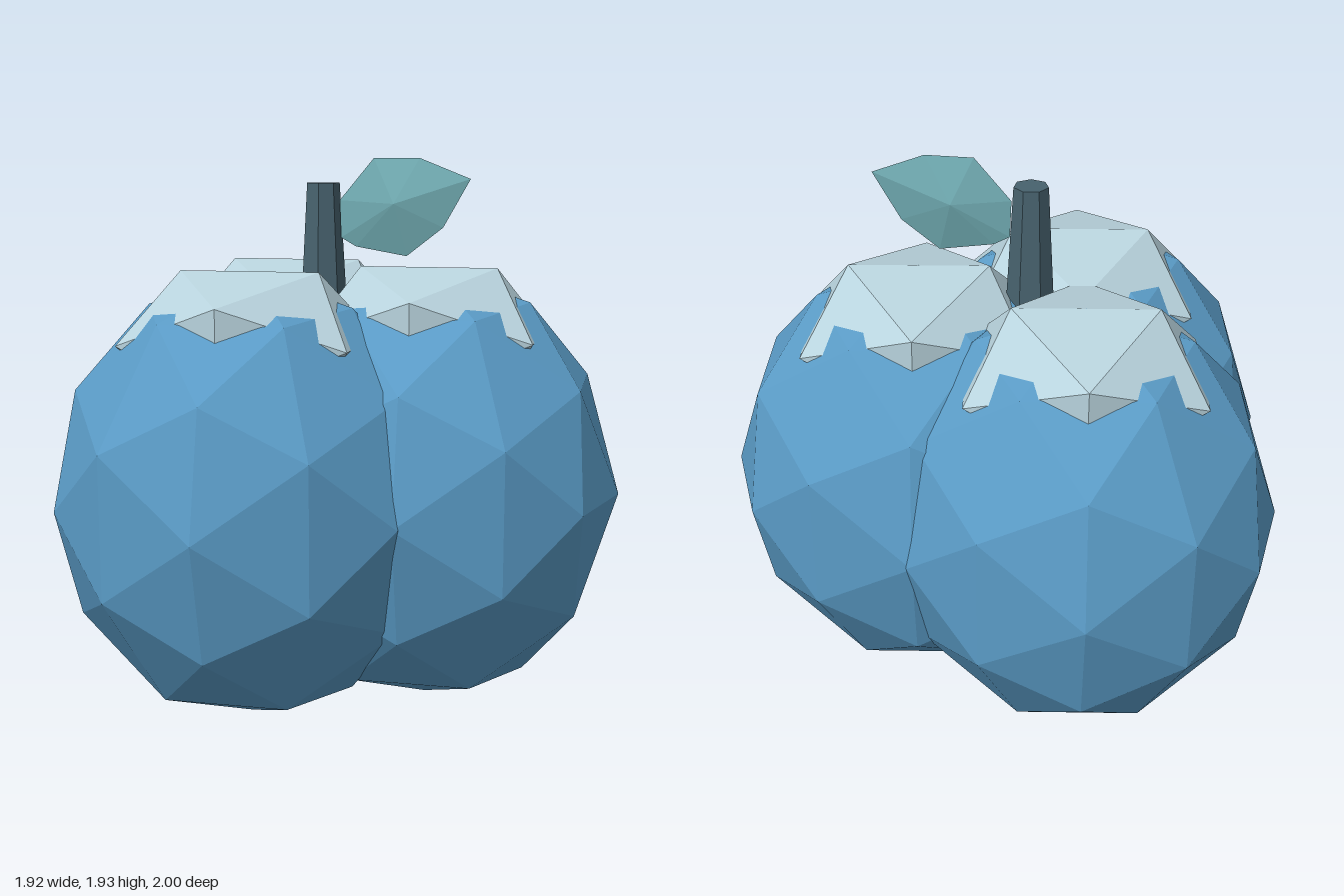
import * as THREE from 'three';

const material = (name, color) => {
  const m = new THREE.MeshStandardMaterial({ color, flatShading: true });
  m.name = name;
  return m;
};

export function createModel() {
  const blue = material('berryBlue', 0x5a9bc6);
  const pale = material('paleFrost', 0xb8d3dd);
  const slate = material('stemSlate', 0x47626e);
  const teal = material('leafTeal', 0x72adb4);

  const model = new THREE.Group();
  model.name = 'berryCluster';
  const add = (name, geometry, mat, parent = model) => {
    const mesh = new THREE.Mesh(geometry, mat);
    mesh.name = name;
    parent.add(mesh);
    return mesh;
  };

  // Three faceted lobes, each with a flattened cap sunk into its top
  const bodyGeo = new THREE.IcosahedronGeometry(1, 1).scale(0.68, 0.78, 0.68);
  bodyGeo.computeVertexNormals();
  const capGeo = new THREE.IcosahedronGeometry(0.46, 0).scale(1, 0.6, 1);
  capGeo.computeVertexNormals();
  const lobes = [['frontLobe', -0.28, 0.32], ['backLobe', -0.28, -0.32], ['leftLobe', 0.28, 0]];
  for (const [name, x, z] of lobes) {
    const lobe = new THREE.Group();
    lobe.name = name;
    lobe.position.set(x, 0, z);
    add('lobeBody', bodyGeo, blue, lobe).position.y = 0.78;
    add('lobeCap', capGeo, pale, lobe).position.y = 1.325;
    model.add(lobe);
  }

  // Tapered stem rising from where the lobes meet
  add('stem', new THREE.CylinderGeometry(0.06, 0.092, 0.55, 7), slate).position.set(-0.1, 1.575, 0);

  // Leaf: an outline turned slightly forward, with a raised centre on both sides
  const outline = [
    [-0.035, 1.79], [-0.03, 1.66], [0.025, 1.63], [0.21, 1.6],
    [0.34, 1.7], [0.435, 1.865], [0.255, 1.935], [0.09, 1.935],
  ];
  const rim = outline.map(([x, y]) => [x, y, 0.015 + 0.14 * (x + 0.03)]);
  const front = [0.17, 1.78, 0.09], back = [0.17, 1.78, 0.0];
  const points = [];
  rim.forEach((a, i) => {
    const b = rim[(i + 1) % rim.length];
    points.push(...a, ...b, ...front, ...b, ...a, ...back);
  });
  const leafGeo = new THREE.BufferGeometry();
  leafGeo.setAttribute('position', new THREE.Float32BufferAttribute(points, 3));
  leafGeo.computeVertexNormals();
  add('leaf', leafGeo, teal);

  return model;
}
